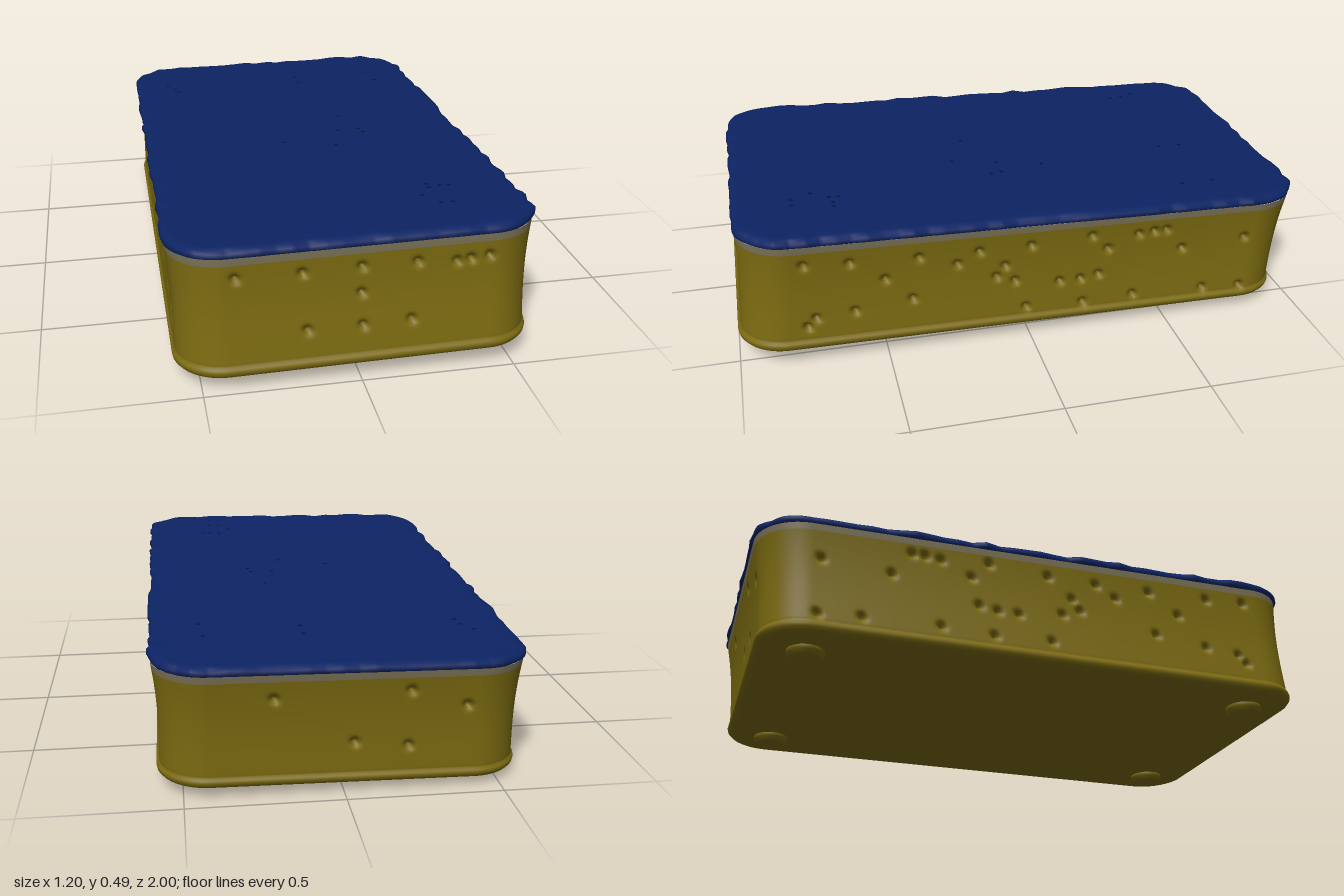
import * as THREE from 'three';

const W = 0.585, L = 0.982, R = 0.17, N = 720;

const mat = (name, color, side = THREE.FrontSide) => {
  const m = new THREE.MeshStandardMaterial({ color, side });
  m.name = name;
  return m;
};

// Evenly spaced rounded-rectangle outline with outward normals
function makeOutline() {
  const sx = 2 * (W - R), sz = 2 * (L - R), arc = R * Math.PI / 2;
  const parts = [];
  for (let q = 0; q < 4; q++) {
    const a = q * Math.PI / 2;
    const cx = (q === 0 || q === 3 ? 1 : -1) * (W - R), cz = (q < 2 ? 1 : -1) * (L - R);
    parts.push({ len: arc, at: t => [cx + R * Math.cos(a + t * Math.PI / 2), cz + R * Math.sin(a + t * Math.PI / 2), a + t * Math.PI / 2] });
    const e = a + Math.PI / 2, len = q % 2 === 0 ? sx : sz;
    const x0 = cx + R * Math.cos(e), z0 = cz + R * Math.sin(e);
    parts.push({ len, at: t => [x0 - Math.sin(e) * t * len, z0 + Math.cos(e) * t * len, e] });
  }
  const total = 2 * (sx + sz) + 4 * arc, out = [];
  for (let i = 0; i < N; i++) {
    let s = (i / N) * total, k = 0;
    while (k < 7 && s > parts[k].len) s -= parts[k++].len;
    const [x, z, a] = parts[k].at(s / parts[k].len);
    out.push({ x, z, nx: Math.cos(a), nz: Math.sin(a) });
  }
  return out;
}

// Gentle lean and slope shared by every part
function lean(p) {
  const { x, y, z } = p;
  return p.set(x, y + (0.012 + 0.026 * y) * z + 0.012 * x, z + 0.025 - 0.08 * y);
}

// Loft the outline through [height, inset] levels, with optional flat caps
function loft(name, levels, material, outline, rule, capBottom, capTop) {
  const pos = [], idx = [], p = new THREE.Vector3();
  levels.forEach(([y, inset], j) => outline.forEach((o, i) => {
    lean(p.set(o.x - o.nx * inset, y, o.z - o.nz * inset));
    if (rule) rule(p, o, i, j);
    pos.push(p.x, p.y, p.z);
    if (j === levels.length - 1) return;
    const n = (i + 1) % N, a = j * N + i, b = j * N + n;
    idx.push(a, a + N, b + N, a, b + N, b);
  }));
  const cap = (j, up) => {
    const c = pos.length / 3;
    lean(p.set(0, levels[j][0], 0));
    pos.push(p.x, p.y, p.z);
    for (let i = 0; i < N; i++) {
      const a = j * N + i, b = j * N + (i + 1) % N;
      if (up) idx.push(c, b, a); else idx.push(c, a, b);
    }
  };
  if (capBottom) cap(0, false);
  if (capTop) cap(levels.length - 1, true);
  const g = new THREE.BufferGeometry();
  g.setAttribute('position', new THREE.Float32BufferAttribute(pos, 3));
  g.setIndex(idx);
  g.computeVertexNormals();
  const m = new THREE.Mesh(g, material);
  m.name = name;
  return m;
}

// Pores as [position along the face, height]
const FRONT = [[-.39, .38], [-.185, .38], [0, .385], [.175, .385], [.3, .375], [.345, .38], [.405, .385],
  [0, .295], [-.17, .185], [.005, .185], [.16, .19]];
const BACK = [[.22, .33], [-.2, .34], [-.38, .28], [-.03, .17], [-.2, .15]];
const SIDE = [[.765, .385], [.615, .375], [.5, .295], [.385, .365], [.255, .32], [.18, .36], [0, .36],
  [.09, .29], [.12, .25], [.055, .225], [-.215, .37], [-.275, .31], [-.105, .2], [-.18, .2], [-.245, .21],
  [-.385, .355], [-.44, .36], [-.485, .36], [-.55, .275], [-.785, .29], [.41, .205], [.605, .185],
  [.735, .175], [.765, .145], [.015, .115], [-.19, .105], [-.375, .11], [-.64, .1], [-.785, .09]];
const TOP = [[-.46, -.7], [-.43, -.65], [-.42, -.6], [.1, -.7], [.1, -.62], [.42, -.7], [.43, -.58],
  [.17, -.13], [.13, .03], [.21, .03], [.22, .07], [-.09, .12], [.09, .19], [.3, .63], [.3, .66],
  [.34, .65], [.37, .65], [.26, .72], [.3, .79], [.34, .79]];

// Push the wall inward around each pore
function dent(p, o) {
  const onSide = Math.abs(o.nx) > 0.8, onEnd = Math.abs(o.nz) > 0.8;
  if (!onSide && !onEnd) return;
  const list = onSide ? SIDE : o.nz > 0 ? FRONT : BACK;
  const u = onSide ? p.z : p.x, y = p.y;
  let depth = 0;
  for (const [pu, py] of list) {
    const d = Math.hypot(u - pu, y - py) / 0.0125;
    if (d < 3) depth = Math.max(depth, 0.026 * Math.exp(-d * d));
  }
  p.x -= o.nx * depth;
  p.z -= o.nz * depth;
}

export function createModel() {
  const root = new THREE.Group();
  root.name = 'scrubbingSponge';
  const olive = mat('olive foam', 0x7d6c11);
  const grey = mat('grey glue', 0x787056);
  const blue = mat('blue scouring pad', 0x0d2464);
  const navy = mat('dark pad pores', 0x061238);
  const outline = makeOutline();

  // Foam block with a rolled bottom lip, a seam and a slight waist
  const levels = [[.04, .045], [.041, .028], [.046, .014], [.055, .006], [.065, .004], [.073, .006], [.079, .013], [.086, .012]];
  for (let k = 1; k <= 40; k++) {
    const t = k / 40;
    levels.push([.086 + .324 * t, .012 * (1 - t * t * t) + .003 * Math.sin(Math.PI * t)]);
  }
  root.add(loft('foamBody', levels, olive, outline, dent, true, false));

  // Glue band between the foam and the pad
  root.add(loft('glueBand', [[.41, 0], [.42, -.001], [.434, -.002]], grey, outline, null, false, false));

  // Scouring pad with a ragged rim
  const wave = [];
  let seed = 7;
  const rnd = () => (seed = (seed * 16807) % 2147483647) / 2147483647;
  for (let i = 0; i < N / 6; i++) wave.push(rnd());
  const ragged = (p, o, i, j) => {
    const k = Math.floor(i / 6), f = (i % 6) / 6;
    const w = wave[k] * (1 - f) + wave[(k + 1) % wave.length] * f - 0.4;
    const amount = [0, .5, 1, 1, .8, .3, 0][j];
    p.x += o.nx * w * .012 * amount;
    p.z += o.nz * w * .012 * amount;
    p.y += w * .01 * amount * (j > 2 ? 1 : .4);
  };
  root.add(loft('scouringPad', [[.432, .02], [.432, .002], [.438, -.006], [.450, -.006], [.460, .003], [.463, .02], [.463, .07]],
    blue, outline, ragged, true, true));

  // Small pores on top of the pad
  const dot = new THREE.CircleGeometry(.008, 8).rotateX(-Math.PI / 2);
  const pores = new THREE.Group();
  pores.name = 'padPores';
  for (const [x, z] of TOP) {
    const m = new THREE.Mesh(dot, navy);
    m.name = 'padPore';
    lean(m.position.set(x, .465, z));
    m.rotation.set(-.024, 0, .012);
    pores.add(m);
  }
  root.add(pores);

  // Four stepped round feet
  const footProfile = [[0, 0], [.05, 0], [.056, .004], [.057, .010], [.063, .014], [.064, .024], [.062, .04]]
    .map(([x, y]) => new THREE.Vector2(x, y));
  const footGeo = new THREE.LatheGeometry(footProfile, 32);
  for (const x of [-.412, .412]) for (const z of [-.815, .805]) {
    const foot = new THREE.Mesh(footGeo, olive);
    foot.name = 'foot';
    lean(foot.position.set(x, .014, z));
    root.add(foot);
  }
  return root;
}
